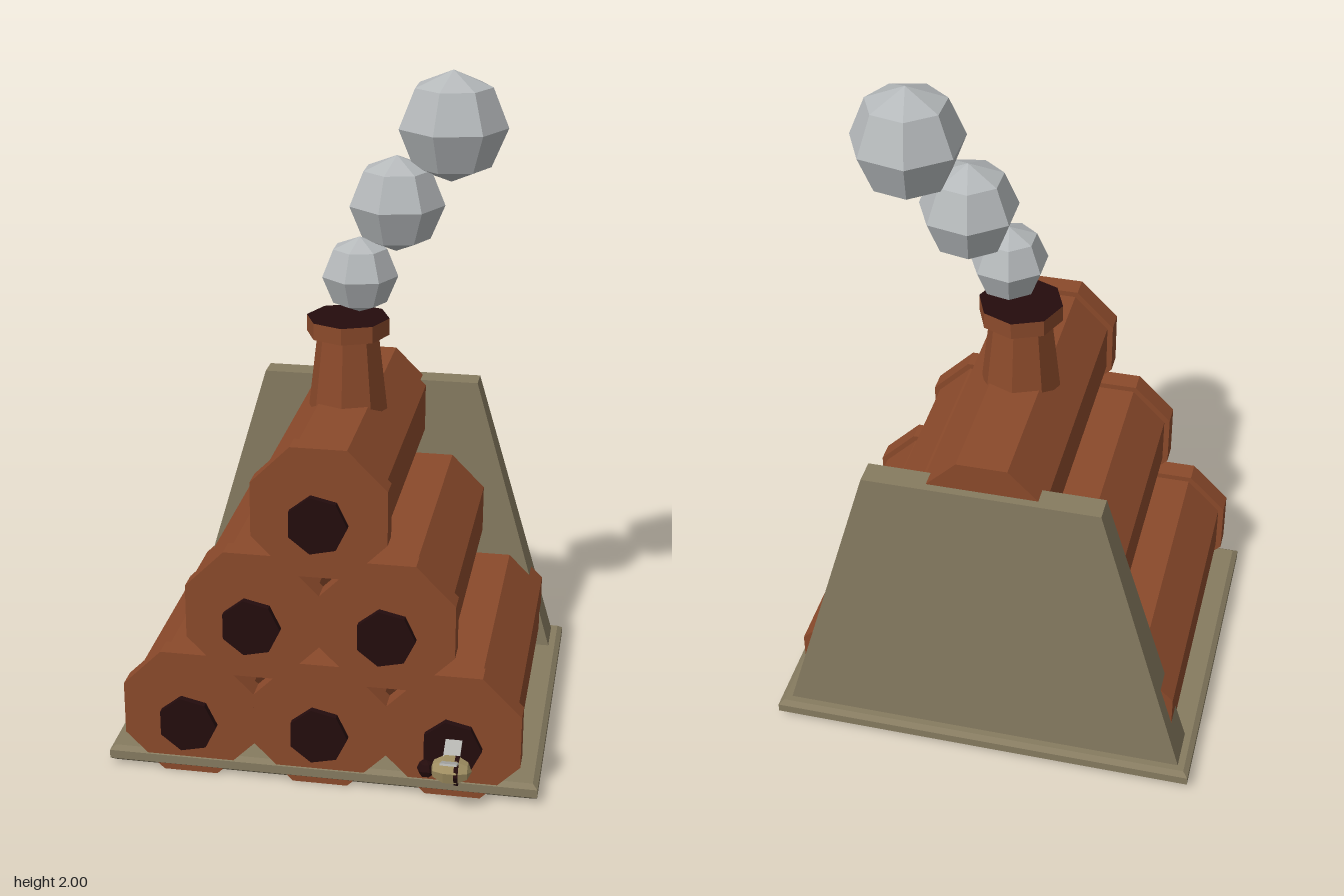
import * as THREE from 'three';

const mat = (name, color, side = THREE.FrontSide) => {
  const m = new THREE.MeshStandardMaterial({ color, flatShading: true, side });
  m.name = name;
  return m;
};

export function createModel() {
  const clay = mat('clay', 0x8b4a2b);
  const soot = mat('soot', 0x240c0d);
  const board = mat('weathered wood', 0x867b60);
  const smoke = mat('smoke', 0xb5b9bb);
  const straw = mat('straw', 0xa08f62);
  const wing = mat('wing', 0xb4b4b0, THREE.DoubleSide);

  const model = new THREE.Group();
  model.name = 'stackedLogHive';
  const add = (name, geo, material, x = 0, y = 0, z = 0, parent = model) => {
    const mesh = new THREE.Mesh(geo, material);
    mesh.name = name;
    mesh.position.set(x, y, z);
    parent.add(mesh);
    return mesh;
  };

  // Chamfered base board
  const hx = 0.622, hz = 0.5;
  const rect = new THREE.Shape([
    new THREE.Vector2(-hx, -hz), new THREE.Vector2(hx, -hz),
    new THREE.Vector2(hx, hz), new THREE.Vector2(-hx, hz),
  ]);
  const baseGeo = new THREE.ExtrudeGeometry(rect, {
    depth: 0.026, bevelEnabled: true, bevelSegments: 1, bevelSize: 0.015, bevelThickness: 0.012,
  });
  baseGeo.rotateX(-Math.PI / 2);
  add('base', baseGeo, board, 0, 0.022, -0.077);

  // Back board, narrowing towards the top in both width and thickness
  const backGeo = new THREE.BoxGeometry(1, 1, 1);
  const p = backGeo.attributes.position;
  for (let i = 0; i < p.count; i++) {
    const top = p.getY(i) > 0;
    const z = p.getZ(i) > 0 ? (top ? -0.455 : -0.43) : (top ? -0.53 : -0.558);
    p.setXYZ(i, Math.sign(p.getX(i)) * (top ? 0.343 : 0.605), top ? 0.955 : 0.05, z);
  }
  add('backBoard', backGeo, board);

  // Octagonal prism lying along z, given its half width across the flats
  const prism = (half, length) => {
    const r = half / Math.cos(Math.PI / 8);
    return new THREE.CylinderGeometry(r, r, length, 8, 1, false, Math.PI / 8).rotateX(Math.PI / 2);
  };
  const bodyGeo = prism(0.178, 0.9);
  const rimGeo = prism(0.195, 0.065);
  const holeGeo = new THREE.CylinderGeometry(0.088, 0.088, 0.022, 7, 1, false, Math.PI / 2)
    .rotateX(Math.PI / 2);

  // Pyramid of hollow logs: three, two, one
  for (let row = 0; row < 3; row++) {
    const count = 3 - row;
    for (let i = 0; i < count; i++) {
      const log = new THREE.Group();
      log.name = 'log';
      log.position.set((i - (count - 1) / 2) * 0.39, 0.196 + row * 0.334, 0);
      model.add(log);
      add('logBody', bodyGeo, clay, 0, 0, -0.055, log);
      add('logRim', rimGeo, clay, 0, 0, 0.4025, log);
      add('entrance', holeGeo, soot, -0.003, -0.03, 0.444, log);
    }
  }

  // Chimney with a sooty mouth
  add('chimney', new THREE.CylinderGeometry(0.09, 0.118, 0.24, 8), clay, 0, 1.13, -0.04);
  add('chimneyRim', new THREE.CylinderGeometry(0.123, 0.123, 0.05, 8),
    [clay, soot, clay], 0, 1.265, -0.04);

  // Smoke puffs
  const puffs = [
    [0.034, 1.42, -0.04, 0.113],
    [0.13, 1.618, -0.107, 0.142],
    [0.282, 1.838, -0.158, 0.162],
  ];
  for (const [x, y, z, r] of puffs) {
    add('smokePuff', new THREE.SphereGeometry(r, 7, 4).rotateY(Math.PI), smoke, x, y, z);
  }

  // Bee hovering by the right-hand entrance
  const bee = new THREE.Group();
  bee.name = 'bee';
  bee.position.set(0.395, 0.143, 0.525);
  model.add(bee);
  const body = add('beeBody', new THREE.SphereGeometry(0.043, 7, 5).rotateZ(Math.PI / 2), straw, 0, 0, 0, bee);
  body.scale.x = 1.4;
  add('beeStripe', new THREE.CylinderGeometry(0.043, 0.043, 0.012, 7).rotateZ(Math.PI / 2),
    soot, 0.018, 0, 0, bee);
  add('beeHead', new THREE.SphereGeometry(0.027, 6, 4), soot, -0.07, -0.002, 0, bee);
  for (const side of [-1, 1]) {
    const w = add('beeWing', new THREE.BoxGeometry(0.048, 0.006, 0.065), wing, 0, 0.043, side * 0.038, bee);
    w.rotation.x = -side * 0.42;
  }
  return model;
}
